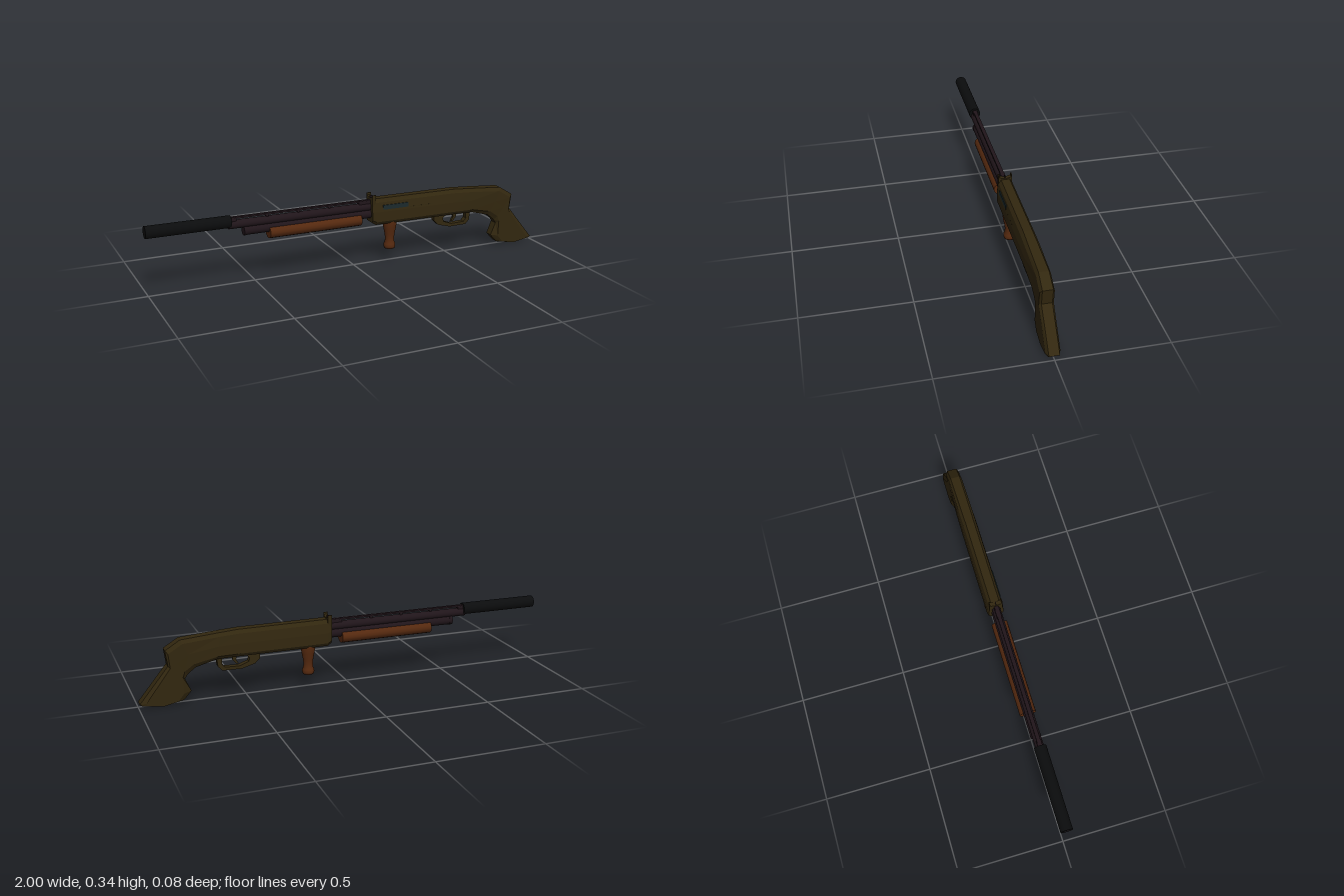
import * as THREE from 'three';

const material = (color, flat = false) =>
  new THREE.MeshStandardMaterial({ color, flatShading: flat, side: THREE.DoubleSide });

const olive = material(0x32270f, true);
const wood = material(0x55290f);
const steel = material(0x20151a);
const black = material(0x0b0c0d);
const teal = material(0x1c2a2c, true);

// Cross-section of the body: [height fraction, width fraction], bottom to top on one side
const RECEIVER = [[0, 0.75], [0.12, 1], [0.5, 0.97], [0.86, 0.8], [1, 0.5]];
const GRIP = [[0, 0.6], [0.15, 1], [0.5, 1], [0.88, 1], [1, 0.72]];

// Skin a row of sections given as [topX, topY, bottomX, bottomY, halfWidth, blend to grip]
function loft(sections) {
  const pos = [], index = [], n = RECEIVER.length * 2;
  for (const [tx, ty, bx, by, w, t] of sections) {
    const half = RECEIVER.map(([v, f], i) => [
      THREE.MathUtils.lerp(v, GRIP[i][0], t), THREE.MathUtils.lerp(f, GRIP[i][1], t) * w]);
    const ring = [...half, ...half.map(([v, z]) => [v, -z]).reverse()];
    for (const [v, z] of ring) pos.push(bx + (tx - bx) * v, by + (ty - by) * v, z);
  }
  for (let s = 0; s < sections.length - 1; s++)
    for (let i = 0; i < n; i++) {
      const j = (i + 1) % n, a = s * n + i, d = s * n + j;
      index.push(a, a + n, d + n, a, d + n, d);
    }
  // End caps
  const last = (sections.length - 1) * n;
  for (let i = 1; i < n - 1; i++) {
    index.push(0, i, i + 1);
    index.push(last, last + i + 1, last + i);
  }
  const g = new THREE.BufferGeometry();
  g.setAttribute('position', new THREE.Float32BufferAttribute(pos, 3));
  g.setIndex(index);
  g.computeVertexNormals();
  return g;
}

export function createModel() {
  const model = new THREE.Group();

  const add = (name, geometry, mat) => {
    const mesh = new THREE.Mesh(geometry, mat);
    mesh.name = name;
    model.add(mesh);
    return mesh;
  };
  // Round bar along x
  const bar = (name, x0, x1, y, r, mat, sides = 20) => {
    const g = new THREE.CylinderGeometry(r, r, x1 - x0, sides);
    g.rotateZ(Math.PI / 2).translate((x0 + x1) / 2, y, 0);
    return add(name, g, mat);
  };
  const box = (name, x0, x1, y0, y1, z0, z1, mat) => {
    const g = new THREE.BoxGeometry(x1 - x0, y1 - y0, z1 - z0);
    g.translate((x0 + x1) / 2, (y0 + y1) / 2, (z0 + z1) / 2);
    return add(name, g, mat);
  };
  // Flat side profile with thickness across z
  const plate = (name, outline, hole, width, mat) => {
    const shape = new THREE.Shape(outline.map(p => new THREE.Vector2(...p)));
    if (hole) shape.holes.push(new THREE.Path(hole.map(p => new THREE.Vector2(...p))));
    const g = new THREE.ExtrudeGeometry(shape, { depth: width, bevelEnabled: false });
    g.translate(0, 0, -width / 2);
    return add(name, g, mat);
  };

  // Receiver flowing into the stock and pistol grip
  add('receiverAndGrip', loft([
    [0.085, 0.325, 0.085, 0.212, 0.036, 0],
    [0.105, 0.327, 0.105, 0.2, 0.04, 0],
    [0.53, 0.325, 0.53, 0.199, 0.04, 0],
    [0.62, 0.319, 0.635, 0.197, 0.039, 0.2],
    [0.80, 0.305, 0.735, 0.168, 0.034, 0.7],
    [0.87, 0.262, 0.772, 0.138, 0.032, 1],
    [0.86, 0.188, 0.785, 0.118, 0.032, 1],
    [0.995, 0.022, 0.758, 0.058, 0.032, 1],
    [0.985, 0.014, 0.794, 0.018, 0.032, 1],
    [0.90, 0.004, 0.88, 0.004, 0.032, 1],
  ]), olive);

  // Barrel group
  bar('barrel', -0.62, 0.1, 0.287, 0.02, steel);
  bar('suppressor', -1, -0.61, 0.302, 0.0285, black, 24);
  bar('suppressorBore', -1.0, -0.99, 0.302, 0.012, steel);
  bar('magazineTube', -0.55, 0.1, 0.253, 0.023, steel);
  bar('magazineCap', -0.55, -0.535, 0.253, 0.0245, steel);

  // Raised sighting rib on posts
  box('rib', -0.61, 0.09, 0.314, 0.322, -0.009, 0.009, steel);
  box('ribFrontBlock', -0.62, -0.582, 0.29, 0.32, -0.011, 0.011, steel);
  box('ribRearBlock', 0.025, 0.09, 0.29, 0.32, -0.011, 0.011, steel);
  for (const x of [-0.435, -0.28, -0.125])
    box('ribPost', x - 0.006, x + 0.006, 0.295, 0.318, -0.007, 0.007, steel);

  // Sliding forend
  const forend = bar('forend', -0.43, 0.03, 0.231, 0.0385, wood, 16);
  forend.geometry.translate(0, -0.231, 0).scale(1, 0.81, 1).translate(0, 0.231, 0);

  // Vertical foregrip
  const profile = [[0, 0.065], [0.026, 0.065], [0.029, 0.075], [0.028, 0.088], [0.024, 0.094],
    [0.022, 0.115], [0.025, 0.14], [0.031, 0.17], [0.034, 0.19], [0.034, 0.205]];
  const foregrip = new THREE.LatheGeometry(profile.map(p => new THREE.Vector2(...p)), 20);
  foregrip.translate(0.193, 0, 0);
  add('foregrip', foregrip, wood);

  // Trigger guard and trigger
  plate('triggerGuard',
    [[0.43, 0.205], [0.432, 0.172], [0.455, 0.15], [0.52, 0.132], [0.61, 0.134], [0.63, 0.155], [0.636, 0.205]],
    [[0.495, 0.197], [0.61, 0.197], [0.612, 0.165], [0.598, 0.149], [0.53, 0.147], [0.485, 0.163], [0.48, 0.18]],
    0.028, olive);
  plate('trigger',
    [[0.535, 0.205], [0.562, 0.205], [0.558, 0.175], [0.542, 0.157], [0.53, 0.156], [0.543, 0.178]],
    null, 0.012, olive);

  // Rear sight: shallow notched block with two ears and a centre blade
  const sight = new THREE.Shape([[-0.032, 0.25], [0.032, 0.25], [0.032, 0.348], [0.027, 0.348],
    [0.027, 0.338], [0, 0.331], [-0.027, 0.338], [-0.027, 0.348], [-0.032, 0.348]]
    .map(p => new THREE.Vector2(...p)));
  const sightGeometry = new THREE.ExtrudeGeometry(sight, { depth: 0.02, bevelEnabled: false });
  sightGeometry.rotateY(Math.PI / 2).translate(0.084, 0, 0);
  add('rearSight', sightGeometry, olive);
  box('sightBlade', 0.086, 0.1, 0.325, 0.341, -0.0015, 0.0015, steel);

  // Ejection port and the slide slot behind it
  box('ejectionPort', 0.14, 0.275, 0.273, 0.295, 0.025, 0.038, teal);
  box('slideSlot', 0.275, 0.41, 0.268, 0.273, 0.03, 0.0375, olive);

  return model;
}
